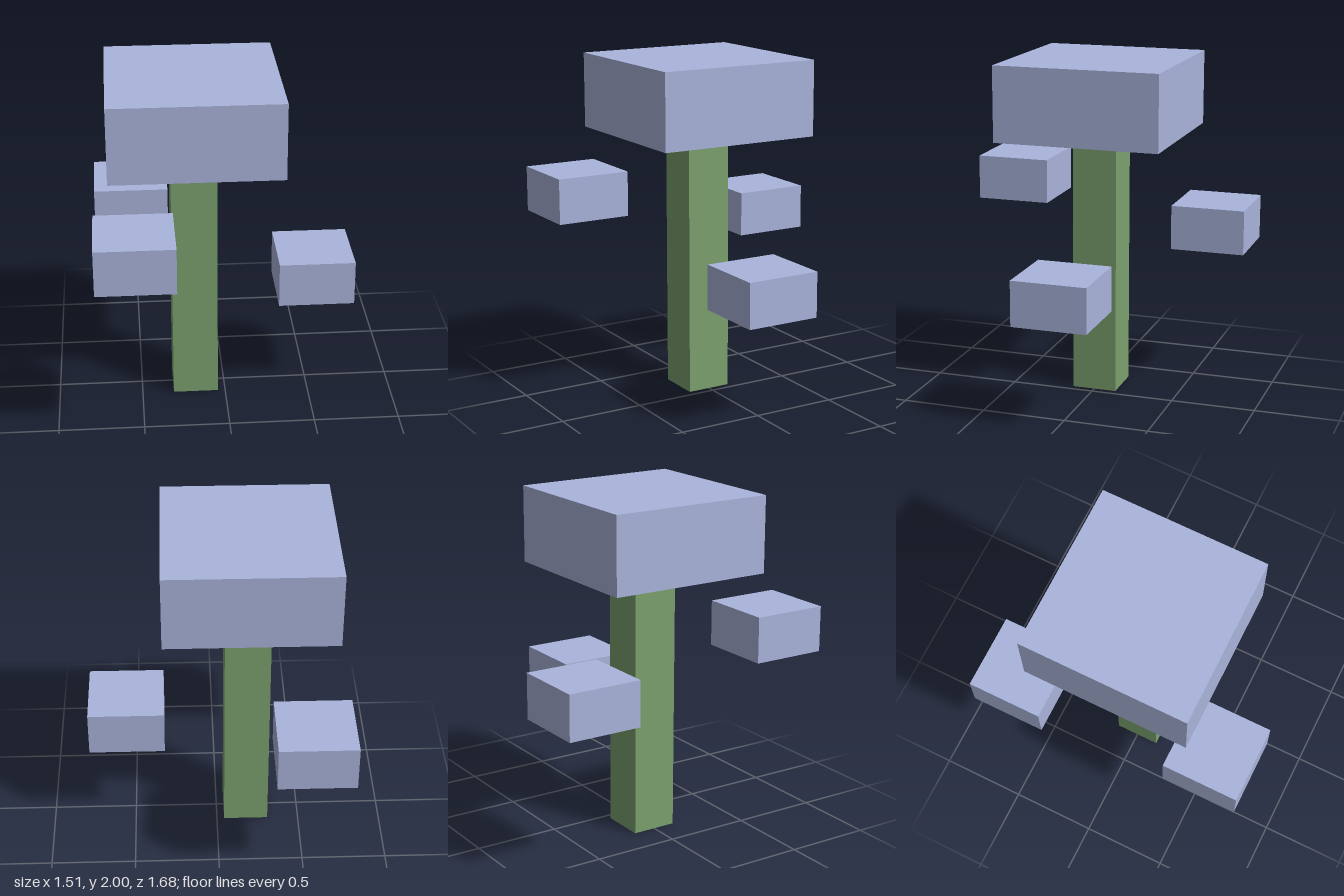
import * as THREE from 'three';

const leafMaterial = new THREE.MeshStandardMaterial({ color: 0xaab5dc });
const trunkMaterial = new THREE.MeshStandardMaterial({ color: 0x7ca26f });

// Box placed by its footprint centre and its bottom height
function block(name, material, [w, h, d], [x, bottom, z]) {
  const mesh = new THREE.Mesh(new THREE.BoxGeometry(w, h, d), material);
  mesh.name = name;
  mesh.position.set(x, bottom + h / 2, z);
  return mesh;
}

export function createModel() {
  const tree = new THREE.Group();
  tree.name = 'blockTree';

  // Square trunk carrying the wide crown
  tree.add(block('trunk', trunkMaterial, [0.267, 1.556, 0.267], [-0.178, 0, 0]));
  tree.add(block('crown', leafMaterial, [0.978, 0.444, 0.978], [-0.178, 1.556, 0]));

  // Floating leaf clumps stepping down around the trunk
  const clumps = {
    frontLeafClump: [-0.533, 1.067, 0.617],
    backLeafClump: [-0.533, 0.844, -0.617],
    sideLeafClump: [0.533, 0.622, 0],
  };
  for (const [name, position] of Object.entries(clumps)) {
    tree.add(block(name, leafMaterial, [0.444, 0.267, 0.444], position));
  }
  return tree;
}
